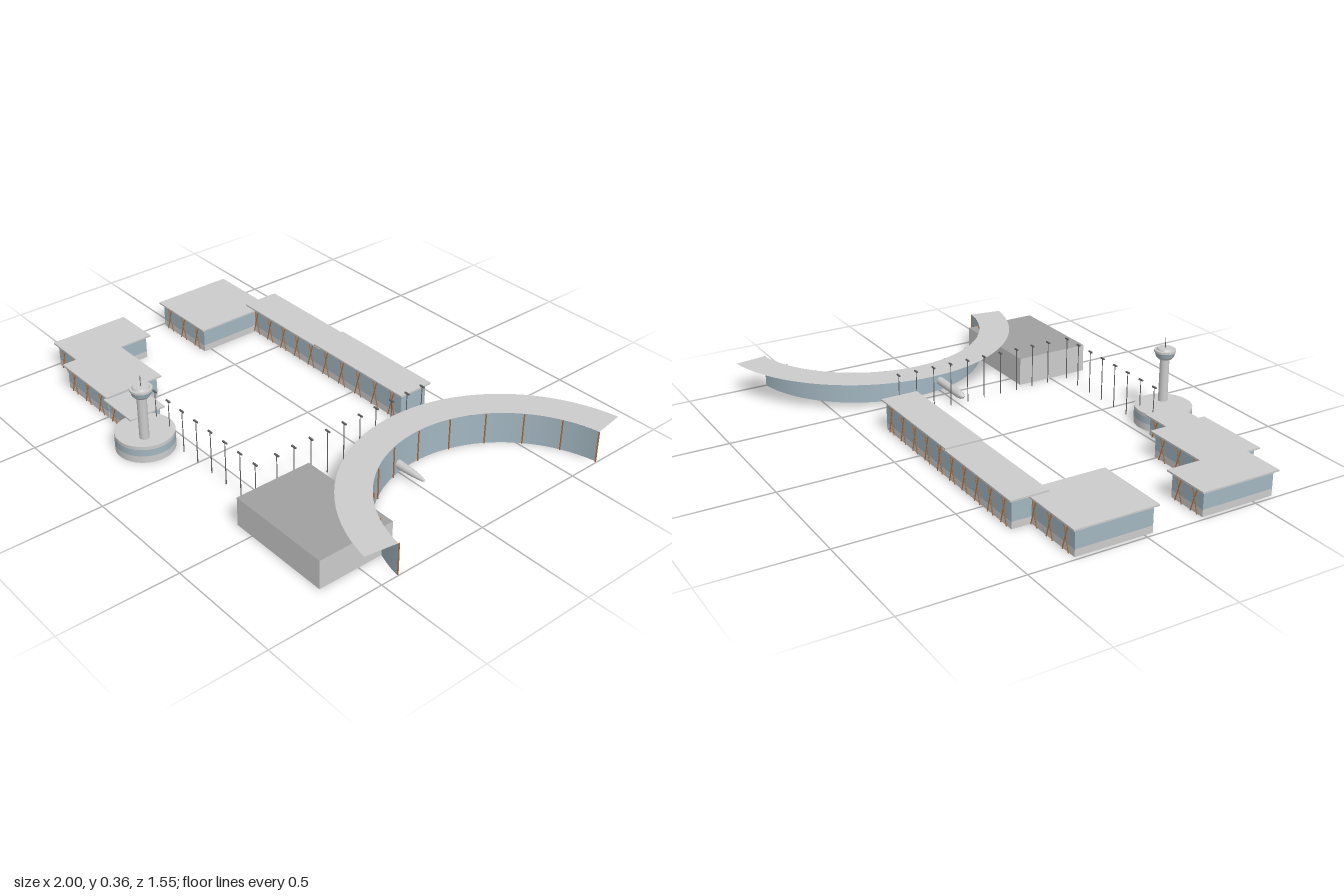
import * as THREE from 'three';

const paint = (color) => new THREE.MeshStandardMaterial({ color, side: THREE.DoubleSide });
const grey = paint(0xcccccc);
const dark = paint(0xa0a0a0);
const glass = paint(0xa3b6c1);
const orange = paint(0xb0703c);
const metal = paint(0x666666);

function add(parent, name, geometry, material, x = 0, y = 0, z = 0) {
  const mesh = new THREE.Mesh(geometry, material);
  mesh.name = name;
  mesh.position.set(x, y, z);
  parent.add(mesh);
  return mesh;
}

// Thin rod between two points
function rod(parent, name, a, b, radius, material) {
  const d = new THREE.Vector3().subVectors(b, a);
  const m = add(parent, name, new THREE.CylinderGeometry(radius, radius, d.length(), 5), material);
  m.position.copy(a).addScaledVector(d, 0.5);
  m.quaternion.setFromUnitVectors(new THREE.Vector3(0, 1, 0), d.normalize());
}

// Upright prism over a plan outline
function prism(outline, height) {
  const g = new THREE.ExtrudeGeometry(new THREE.Shape(outline), { depth: height, bevelEnabled: false });
  return g.rotateX(-Math.PI / 2);
}

// Moves every edge of a counter-clockwise, right-angled outline inwards
function inset(pts, d) {
  const n = pts.length;
  const inward = (a, b) => {
    const t = new THREE.Vector2().subVectors(b, a).normalize();
    return new THREE.Vector2(-t.y, t.x).multiplyScalar(d);
  };
  return pts.map((p, i) => p.clone()
    .add(inward(pts[(i + n - 1) % n], p))
    .add(inward(p, pts[(i + 1) % n])));
}

// Terminal wing: plinth, glazed wall, overhanging roof and crossed facade struts
function terminal(parent, name, plan, top) {
  const g = new THREE.Group();
  g.name = name;
  parent.add(g);
  let pts = plan.map(([x, z]) => new THREE.Vector2(x, -z));
  if (THREE.ShapeUtils.area(pts) < 0) pts = pts.reverse();
  const wall = inset(pts, 0.015);
  const roofY = top - 0.007;
  add(g, 'plinth', prism(wall, 0.03), grey);
  add(g, 'glazedWall', prism(wall, roofY - 0.03), glass, 0, 0.03, 0);
  add(g, 'roof', prism(pts, 0.007), grey, 0, roofY, 0);

  wall.forEach((a, i) => {
    const b = wall[(i + 1) % wall.length];
    const length = Math.abs(b.x - a.x);
    if (length < 0.06) return;
    const z = -a.y + (b.x > a.x ? 0.004 : -0.004);
    const count = Math.max(1, Math.round(length / 0.095));
    for (let k = 0; k < count; k++) {
      const x = a.x + (b.x - a.x) * (k + 0.5) / count;
      for (const s of [-1, 1]) {
        rod(g, 'facadeStrut', new THREE.Vector3(x - s * 0.02, 0, z),
          new THREE.Vector3(x + s * 0.014, roofY, z), 0.0025, orange);
      }
    }
  });
}

const rect = (x0, x1, z0, z1) => [[x0, z0], [x1, z0], [x1, z1], [x0, z1]];

// Curved pier: concave glass wall with a roof cantilevered outwards
function curvedPier(parent) {
  const g = new THREE.Group();
  g.name = 'curvedPier';
  g.position.set(1.08, 0, -0.11);
  parent.add(g);
  const half = THREE.MathUtils.degToRad(81);
  add(g, 'curvedWall', new THREE.CylinderGeometry(0.54, 0.54, 0.14, 40, 1, true, Math.PI * 1.5 - half, 2 * half),
    glass, 0, 0.07, 0);
  add(g, 'curvedRoof', new THREE.RingGeometry(0.54, 0.68, 40, 1, Math.PI - half, 2 * half).rotateX(-Math.PI / 2),
    grey, 0, 0.141, 0);
  for (let i = 0; i <= 10; i++) {
    const a = Math.PI - half + 2 * half * i / 10;
    const at = (y, r) => new THREE.Vector3(Math.cos(a) * r, y, Math.sin(a) * r);
    rod(g, 'wallPost', at(0, 0.537), at(0.14, 0.537), 0.003, orange);
  }
}

// Round hall with the control tower standing on it
function controlTower(parent) {
  const hall = new THREE.Group();
  hall.name = 'roundHall';
  hall.position.set(-0.23, 0, 0.65);
  parent.add(hall);
  const band = (name, y0, y1, material) => add(hall, name,
    new THREE.CylinderGeometry(0.122, 0.122, y1 - y0, 40, 1, true), material, 0, (y0 + y1) / 2, 0);
  band('hallBase', 0, 0.03, grey);
  band('hallWindows', 0.03, 0.06, glass);
  band('hallParapet', 0.06, 0.075, grey);
  add(hall, 'hallRoof', new THREE.CircleGeometry(0.122, 40).rotateX(-Math.PI / 2), grey, 0, 0.075, 0);

  const tower = new THREE.Group();
  tower.name = 'controlTower';
  tower.position.set(-0.187, 0, 0.68);
  parent.add(tower);
  add(tower, 'shaft', new THREE.CylinderGeometry(0.02, 0.02, 0.2, 24), grey, 0, 0.17, 0);
  add(tower, 'cabFloor', new THREE.CylinderGeometry(0.038, 0.03, 0.01, 24), grey, 0, 0.272, 0);
  add(tower, 'cabWindows', new THREE.CylinderGeometry(0.044, 0.038, 0.02, 24), glass, 0, 0.287, 0);
  add(tower, 'cabRoof', new THREE.CylinderGeometry(0.046, 0.046, 0.009, 24), grey, 0, 0.3015, 0);
  add(tower, 'roofCap', new THREE.CylinderGeometry(0.032, 0.036, 0.008, 24), grey, 0, 0.31, 0);
  add(tower, 'antenna', new THREE.CylinderGeometry(0.0015, 0.002, 0.046, 6), metal, 0, 0.335, 0);
}

function lamp(parent, x, z) {
  const g = new THREE.Group();
  g.name = 'lamp';
  g.position.set(x, 0, z);
  parent.add(g);
  add(g, 'pole', new THREE.CylinderGeometry(0.0018, 0.0025, 0.19, 6), metal, 0, 0.095, 0);
  add(g, 'lampHead', new THREE.BoxGeometry(0.025, 0.006, 0.006), metal, 0, 0.193, 0);
}

export function createModel() {
  const model = new THREE.Group();
  model.name = 'airport';

  // Terminal wings
  terminal(model, 'rearTerminalWest', rect(-0.72, -0.21, -0.4, -0.235), 0.126);
  terminal(model, 'rearTerminalEast', rect(-0.24, 0.31, -0.4, -0.235), 0.134);
  terminal(model, 'cornerTerminal', rect(-1, -0.66, -0.315, 0.05), 0.118);
  terminal(model, 'frontTerminal', [[-1, 0.245], [-0.785, 0.245], [-0.785, 0.4], [-0.475, 0.4],
    [-0.475, 0.67], [-0.815, 0.67], [-0.815, 0.605], [-1, 0.605]], 0.112);
  terminal(model, 'frontLink', rect(-0.5, -0.3, 0.505, 0.67), 0.092);

  controlTower(model);
  curvedPier(model);

  // Plain hall under the end of the pier, with a darker roof
  add(model, 'plainHall', new THREE.BoxGeometry(0.465, 0.125, 0.34),
    [grey, grey, dark, grey, grey, grey], 0.647, 0.0625, 0.51);

  // Slim fuselage passing through the pier wall
  const profile = [[0, 0], [0.009, 0.006], [0.015, 0.02], [0.018, 0.045], [0.018, 0.23],
    [0.014, 0.3], [0.008, 0.35], [0, 0.368]].map(([r, l]) => new THREE.Vector2(r, l));
  add(model, 'fuselage', new THREE.LatheGeometry(profile, 20).rotateZ(-Math.PI / 2), grey, 0.337, 0.043, 0.005);

  // Two rows of lamps
  for (let i = 0; i < 8; i++) lamp(model, -0.28 + i * 0.093, 0.56);
  for (let i = 0; i < 10; i++) lamp(model, 0.375, -0.285 + i * 0.083);

  return model;
}
